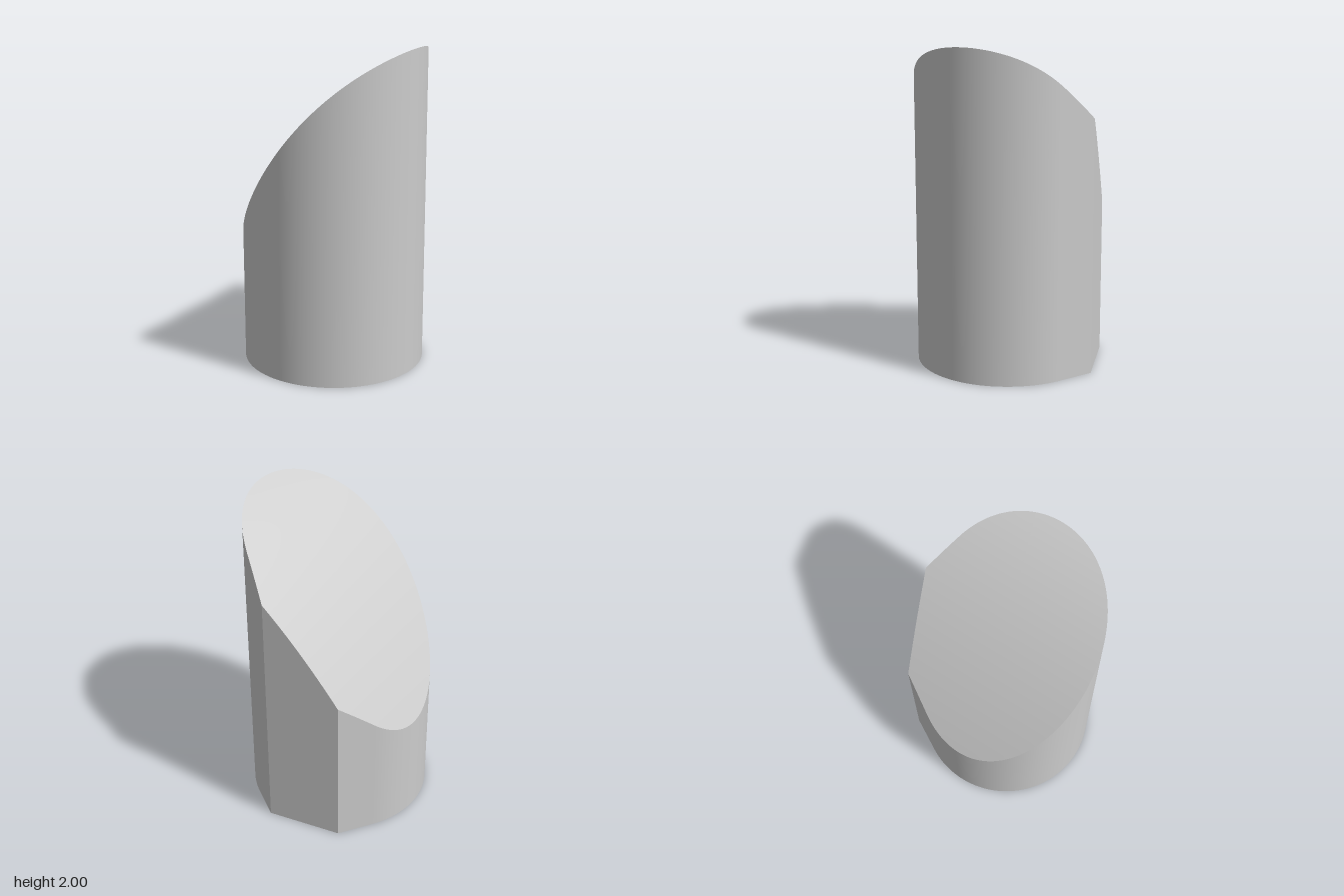
import * as THREE from 'three';
import { toCreasedNormals } from 'three/addons/utils/BufferGeometryUtils.js';

const RADIUS = 0.565;
const SEGMENTS = 160; // multiple of 16, so plan corners fall on vertices
const SLOPE_ANGLE = THREE.MathUtils.degToRad(15.5);

// Plan outline: a circle whose back becomes half an octagon
function outlineRadius(cx, cz) {
  if (cz > -Math.abs(cx)) return RADIUS;
  return Math.min(RADIUS / -cz, (RADIUS * Math.SQRT2) / (Math.abs(cx) - cz));
}

// Roof height: one gentle curve rising along a diagonal direction
function roofHeight(x, z) {
  const s = x * Math.cos(SLOPE_ANGLE) + z * Math.sin(SLOPE_ANGLE);
  return 1.486 + 1.177 * s - 0.475 * s * s;
}

// Fit a unit-radius geometry to the plan; y = 0 stays on the ground, y = 1 goes to the roof
function fitToPlan(geometry) {
  const p = geometry.attributes.position;
  for (let i = 0; i < p.count; i++) {
    const r = Math.hypot(p.getX(i), p.getZ(i));
    const cx = r > 1e-6 ? p.getX(i) / r : 0;
    const cz = r > 1e-6 ? p.getZ(i) / r : 1;
    const x = cx * r * outlineRadius(cx, cz);
    const z = cz * r * outlineRadius(cx, cz);
    p.setXYZ(i, x, p.getY(i) * roofHeight(x, z), z);
  }
  geometry.computeVertexNormals();
  return geometry;
}

export function createModel() {
  const group = new THREE.Group();
  group.name = 'slantedColumn';
  const grey = new THREE.MeshStandardMaterial({ color: 0xcccccc });
  grey.name = 'light grey';

  const add = (name, geometry) => {
    const mesh = new THREE.Mesh(geometry, grey);
    mesh.name = name;
    group.add(mesh);
  };

  // Upright wall, smooth round the curve and sharp at the back corners
  const wall = new THREE.CylinderGeometry(1, 1, 1, SEGMENTS, 1, true).translate(0, 0.5, 0);
  add('wall', toCreasedNormals(fitToPlan(wall), THREE.MathUtils.degToRad(25)));

  // Curved sloping roof
  const roof = new THREE.RingGeometry(0, 1, SEGMENTS, 24).rotateX(-Math.PI / 2).translate(0, 1, 0);
  add('slopingRoof', fitToPlan(roof));

  // Flat underside
  const base = new THREE.CircleGeometry(1, SEGMENTS).rotateX(Math.PI / 2);
  add('base', fitToPlan(base));

  return group;
}
